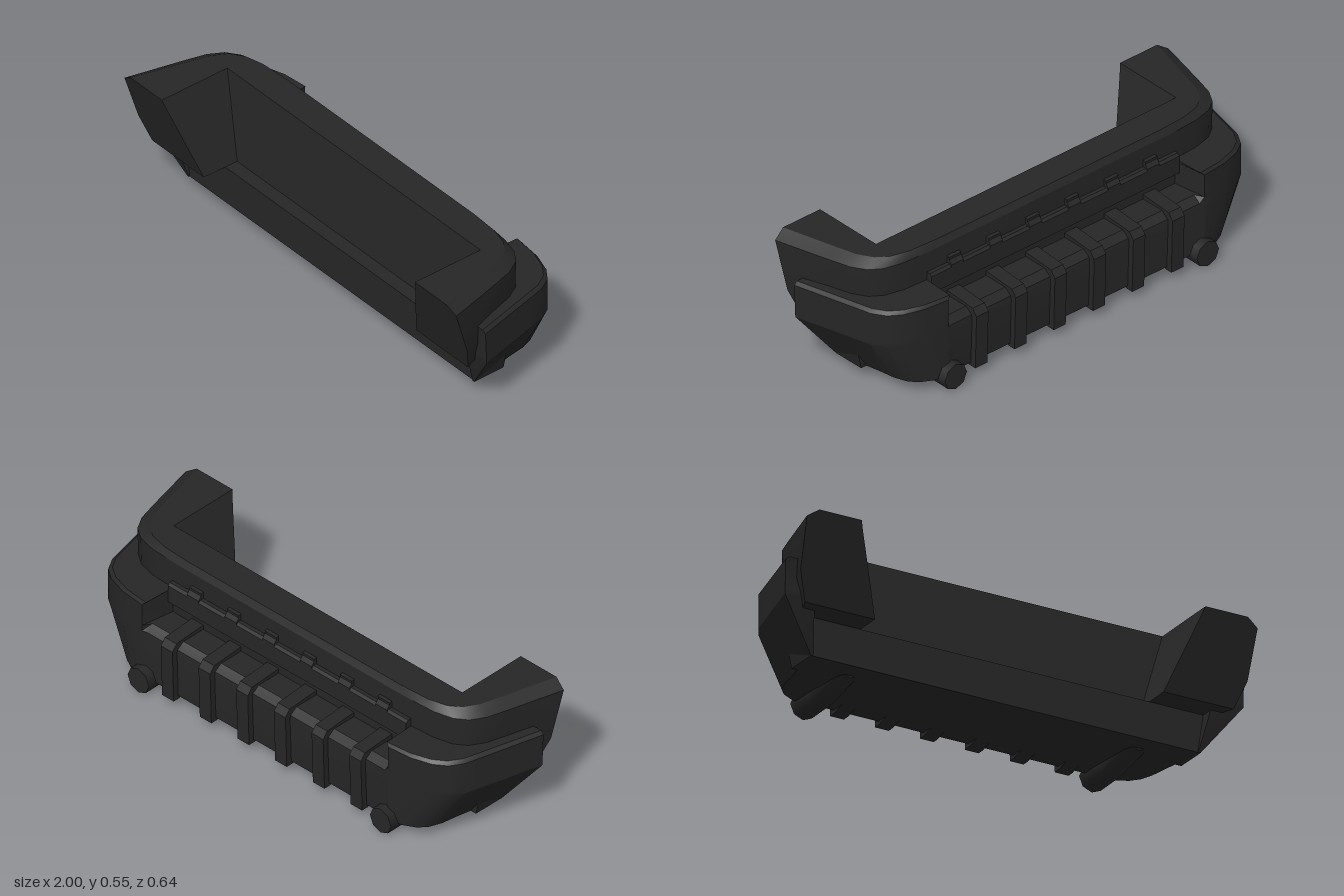
import * as THREE from 'three';
import { toCreasedNormals } from 'three/addons/utils/BufferGeometryUtils.js';

const dark = new THREE.MeshStandardMaterial({ color: 0x262626 });

// Solid lofted through horizontal rings (listed bottom to top, anticlockwise from above)
function loft(rings, crease = 0.5) {
  const n = rings[0].length, pos = [];
  const tri = (a, b, c) => pos.push(...a, ...b, ...c);
  for (let k = 0; k + 1 < rings.length; k++) {
    for (let i = 0; i < n; i++) {
      const j = (i + 1) % n, a = rings[k], b = rings[k + 1];
      tri(a[i], a[j], b[j]);
      tri(a[i], b[j], b[i]);
    }
  }
  const cap = (ring, up) => {
    const flat = ring.map(p => new THREE.Vector2(p[0], -p[2]));
    for (const [a, b, c] of THREE.ShapeUtils.triangulateShape(flat, [])) {
      if (up) tri(ring[a], ring[b], ring[c]);
      else tri(ring[a], ring[c], ring[b]);
    }
  };
  cap(rings[0], false);
  cap(rings[rings.length - 1], true);
  const g = new THREE.BufferGeometry();
  g.setAttribute('position', new THREE.Float32BufferAttribute(pos, 3));
  return toCreasedNormals(g, crease);
}

// Mirrors a half outline of [x, z] points into a full ring, rising slightly towards the back
const ringAt = (half, y, tilt) => [
  ...half.map(([x, z]) => [x, y - tilt * z, z]),
  ...half.slice().reverse().map(([x, z]) => [-x, y - tilt * z, z]),
];

// Convex side profile of [z, y] points, extruded along x about a centre
function sideProfile(points, width) {
  const shape = new THREE.Shape(points.map(([z, y]) => new THREE.Vector2(-z, y)));
  const g = new THREE.ExtrudeGeometry(shape, { depth: width, bevelEnabled: false });
  return g.translate(0, 0, -width / 2).rotateY(Math.PI / 2);
}

export function createModel() {
  const model = new THREE.Group();
  const add = (name, geometry, x = 0) => {
    const mesh = new THREE.Mesh(geometry, dark);
    mesh.name = name;
    mesh.position.x = x;
    model.add(mesh);
  };

  // Upper band: U-shaped with a tapered recess at the front
  const upper = [[0.92, 0.07], [0.895, -0.02], [0.86, -0.08], [0.81, -0.115], [0.73, -0.135], [0.6, -0.142]];
  const upperRing = (y, front, endX, inset, tilt) => {
    const t = (y - 0.205) / 0.343;
    const innerX = 0.63 + 0.12 * t, innerZ = 0.05 * (1 - t);
    const s = endX / 0.98;
    const half = [[innerX, innerZ], [innerX, front], [endX - inset, front]];
    for (const [x, z] of upper) half.push([x * s - inset, z + inset * 0.35]);
    return ringAt(half, y, tilt);
  };
  add('upperBand', loft([
    upperRing(0.205, 0.212, 0.935, 0, 0),
    upperRing(0.315, 0.247, 0.975, 0, 0),
    upperRing(0.519, 0.308, 0.983, 0, 0.02),
    upperRing(0.5475, 0.318, 0.98, 0.045, 0.008),
  ]));

  // Lower shell: wraps the band, with a notch in the middle of the back
  const lower = [[0.935, -0.09], [0.918, -0.16], [0.885, -0.215], [0.835, -0.25], [0.75, -0.277], [0.64, -0.288]];
  const lowerRing = (y, front, innerX, spread, notchZ, inset = 0) => {
    const px = x => 0.64 + (x - 0.64) * spread - inset;
    const half = [[innerX, 0], [innerX, front], [px(1), front]];
    for (const [x, z] of lower) half.push([px(x), z + inset * 0.6]);
    half.push([0.62, notchZ]);
    return ringAt(half, y, 0.02);
  };
  add('lowerShell', loft([
    lowerRing(0.0455, 0.112, 0.84, 0.583, -0.278),
    lowerRing(0.245, 0.174, 0.87, 1, -0.285),
    lowerRing(0.262, 0.175, 0.87, 1, -0.282),
    lowerRing(0.286, 0.176, 0.87, 1, -0.25),
    lowerRing(0.286, 0.176, 0.87, 1, -0.14),
    lowerRing(0.385, 0.18, 0.87, 1, -0.14),
    lowerRing(0.397, 0.183, 0.87, 1, -0.14, 0.014),
  ]));

  // Front sill below the recess
  const sillRing = (y, x, tilt) => ringAt([[x, 0.108], [x, -0.03]], y, tilt);
  add('frontSill', loft([sillRing(0.0455, 0.85, 0.02), sillRing(0.205, 0.885, 0)]));

  // Rear rail in the notch
  add('rearRail', sideProfile([[-0.12, 0.35], [-0.168, 0.35], [-0.168, 0.425], [-0.158, 0.435], [-0.12, 0.435]], 1.24));

  // Vertical fins and the studs above them
  const fin = sideProfile([[-0.13, 0.07], [-0.272, 0.037], [-0.303, 0.037], [-0.31, 0.272], [-0.288, 0.3], [-0.13, 0.31]], 0.06);
  const stud = sideProfile([[-0.12, 0.42], [-0.168, 0.42], [-0.168, 0.435], [-0.155, 0.452], [-0.155, 0.462], [-0.12, 0.47]], 0.06);
  for (let i = 0; i < 6; i++) {
    const x = -0.49 + i * 0.196;
    add('fin', fin, x);
    add('stud', stud, x);
  }

  // Exhaust pipes: straight tip, then rising forward into the shell (lofted upright, laid along z)
  const pipeRing = (z, y) => Array.from({ length: 8 }, (_, i) => {
    const a = i / 8 * Math.PI * 2;
    return [Math.cos(a) * 0.055, z, -y - Math.sin(a) * 0.055];
  });
  const pipe = loft([pipeRing(-0.318, 0.055), pipeRing(-0.185, 0.055), pipeRing(0.03, 0.09)], 0.9).rotateX(Math.PI / 2);
  for (const side of [-1, 1]) add('exhaustPipe', pipe, side * 0.63);
  return model;
}
